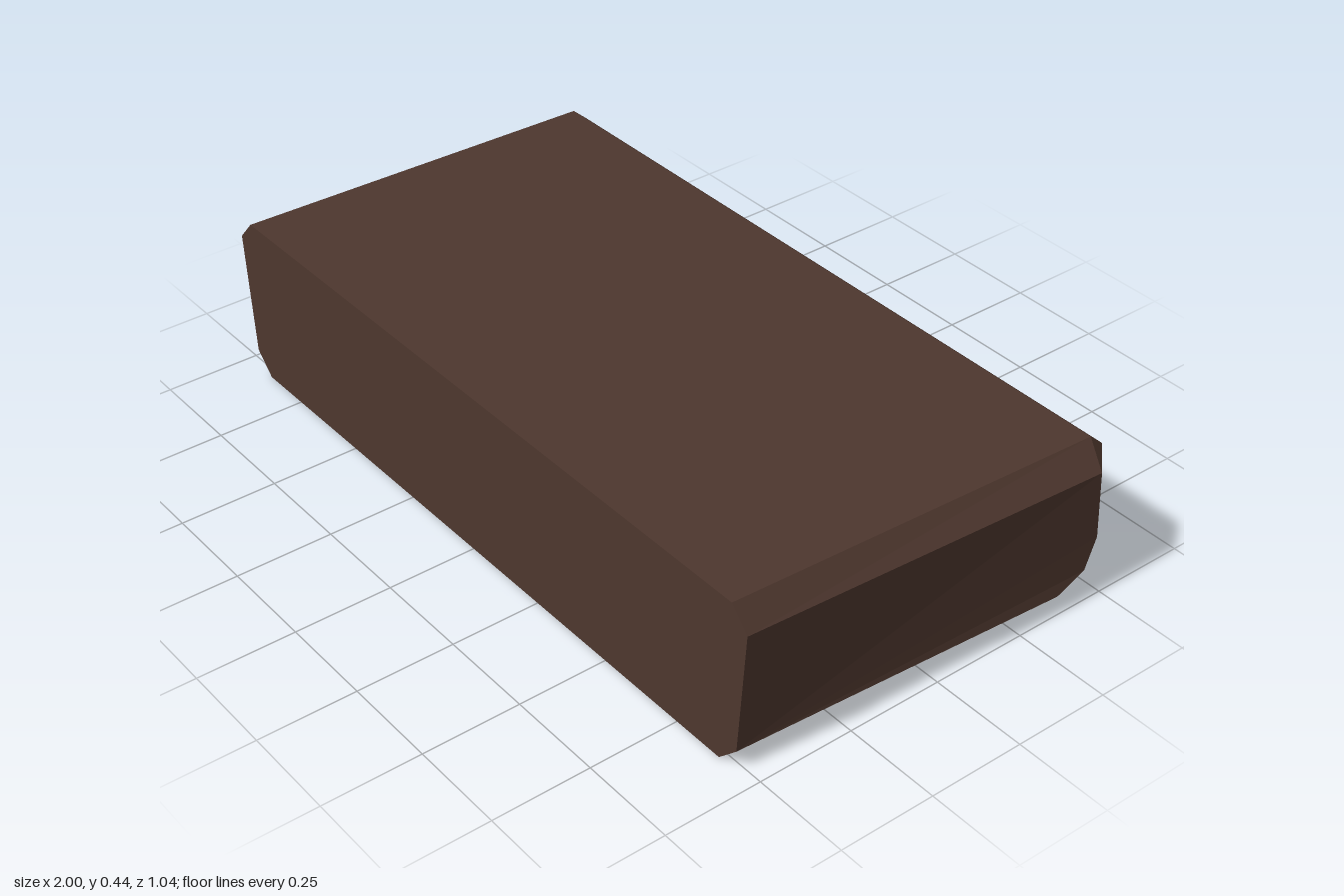
import * as THREE from 'three';

const brown = new THREE.MeshStandardMaterial({ color: 0x4e372e });
brown.name = 'dark brown';
const black = new THREE.MeshStandardMaterial({ color: 0x0a0a0a });
black.name = 'black';

// Collects flat convex faces; each face is turned away from (or towards) a reference point.
function faceBuilder() {
  const out = [];
  return {
    add(points, ref, towards = false) {
      const n = new THREE.Vector3();
      points.forEach((p, i) => n.add(new THREE.Vector3().crossVectors(p, points[(i + 1) % points.length])));
      const dir = points[0].clone().sub(ref);
      const flip = (n.dot(dir) < 0) !== towards;
      const list = flip ? [...points].reverse() : points;
      for (let i = 1; i < list.length - 1; i++) {
        [list[0], list[i], list[i + 1]].forEach((p) => out.push(p.x, p.y, p.z));
      }
    },
    mesh(name, material) {
      const g = new THREE.BufferGeometry();
      g.setAttribute('position', new THREE.Float32BufferAttribute(out, 3));
      g.computeVertexNormals();
      const m = new THREE.Mesh(g, material);
      m.name = name;
      return m;
    },
  };
}

const mirror = (p, s) => new THREE.Vector3(p.x * s, p.y, p.z);
const V = (x, y, z) => new THREE.Vector3(x, y, z);

export function createModel() {
  const group = new THREE.Group();
  group.name = 'hollowCase';

  // Main profile running front bottom, round the back, to front top
  const outer = [
    V(0.89, 0, 0.52), V(0.94, 0, -0.365), V(0.94, 0.045, -0.48), V(0.94, 0.16, -0.525),
    V(0.94, 0.37, -0.52), V(0.94, 0.405, -0.48), V(0.92, 0.435, 0.52),
  ];
  // Side panel outline
  const side = [
    V(0.945, 0.055, 0.52), V(1, 0.055, -0.36), V(1, 0.09, -0.44),
    V(1, 0.17, -0.47), V(1, 0.35, -0.46), V(0.97, 0.38, 0.52),
  ];
  const sideOf = [0, 1, 2, 3, 4, 4, 5];
  const centre = V(0, 0.2, 0);
  const behind = V(0, 0.2, -5);

  // Shell: bottom, back bevels and top, with the back left open
  const shell = faceBuilder();
  [0, 1, 4, 5].forEach((i) => {
    const a = outer[i], b = outer[i + 1];
    shell.add([a, b, mirror(b, -1), mirror(a, -1)], centre);
  });

  // Bevelled edges and side panels
  for (const s of [1, -1]) {
    for (let i = 0; i < 6; i++) {
      const a = sideOf[i], b = sideOf[i + 1];
      const pts = [outer[i], outer[i + 1], side[b]];
      if (a !== b) pts.push(side[a]);
      shell.add(pts.map((p) => mirror(p, s)), centre);
    }
    shell.add(side.map((p) => mirror(p, s)), centre);
  }

  // Front face
  const frontHalf = [outer[0], side[0], side[5], outer[6]];
  shell.add([...frontHalf, ...frontHalf.map((p) => mirror(p, -1)).reverse()], centre);
  group.add(shell.mesh('shell', brown));

  // Back opening: rim, recess walls and inner panel
  const loop = (half) => [...half, ...half.map((p) => mirror(p, -1)).reverse()];
  const rimOuter = loop([outer[2], outer[3], outer[4]]);
  const rimInner = loop([V(0.912, 0.063, -0.483), V(0.915, 0.165, -0.522), V(0.915, 0.348, -0.517)]);
  const panelEdge = loop([V(0.89, 0.1, -0.41), V(0.9, 0.18, -0.41), V(0.9, 0.338, -0.41)]);

  const rim = faceBuilder();
  const walls = faceBuilder();
  for (let i = 0; i < 6; i++) {
    const j = (i + 1) % 6;
    rim.add([rimOuter[i], rimOuter[j], rimInner[j], rimInner[i]], behind, true);
    walls.add([rimInner[i], rimInner[j], panelEdge[j], panelEdge[i]], V(0, 0.23, -0.47), true);
  }
  group.add(rim.mesh('openingRim', brown));
  group.add(walls.mesh('recessWalls', brown));

  const panel = faceBuilder();
  panel.add(panelEdge, behind, true);
  group.add(panel.mesh('innerPanel', black));

  return group;
}
